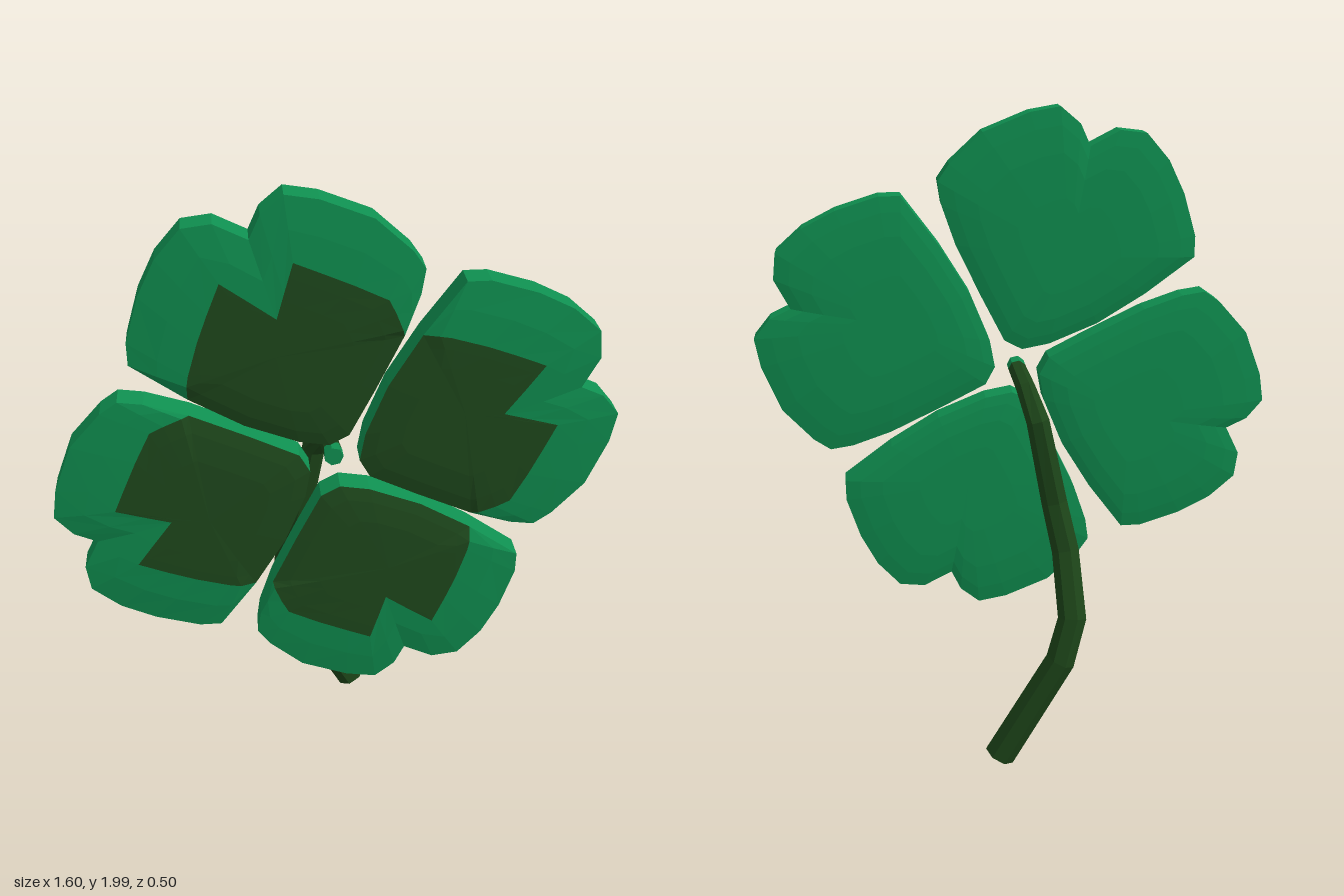
import * as THREE from 'three';

const LEAF_GREEN = 0x0f8f50, DARK_GREEN = 0x1f4a1d, STEM_GREEN = 0x1d4519;

// Skin a list of rings (equal point counts, counter-clockwise about the travel direction)
function loft(name, rings, color) {
  const pos = [];
  const tri = (a, b, c) => {
    if (a.distanceTo(b) < 1e-5 || b.distanceTo(c) < 1e-5 || c.distanceTo(a) < 1e-5) return;
    for (const p of [a, b, c]) pos.push(p.x, p.y, p.z);
  };
  for (let i = 0; i < rings.length - 1; i++) {
    const r = rings[i], s = rings[i + 1], n = r.length;
    for (let j = 0; j < n; j++) {
      const k = (j + 1) % n;
      tri(r[j], r[k], s[k]);
      tri(r[j], s[k], s[j]);
    }
  }
  const geo = new THREE.BufferGeometry();
  geo.setAttribute('position', new THREE.Float32BufferAttribute(pos, 3));
  geo.computeVertexNormals();
  const mesh = new THREE.Mesh(geo, new THREE.MeshStandardMaterial({ color, flatShading: true }));
  mesh.name = name;
  return mesh;
}

// Leaf outline, and the dark patch outline where it leaves the rim: [x, y, patchX, patchY]
const OUTLINE = [
  [-0.22, 0.685, -0.155, 0.47], [-0.31, 0.73, -0.23, 0.525], [-0.39, 0.72, -0.30, 0.575],
  [-0.46, 0.64, -0.335, 0.49], [-0.51, 0.54, -0.365, 0.41], [-0.55, 0.41, -0.395, 0.31],
  [-0.55, 0.345, -0.40, 0.28], [-0.40, 0.235], [-0.25, 0.145], [-0.10, 0.085],
  [-0.015, 0.07], [0.04, 0.10], [0.11, 0.24], [0.185, 0.40],
  [0.225, 0.52, 0.18, 0.42], [0.235, 0.59, 0.16, 0.47], [0.20, 0.64, 0.14, 0.51],
  [0.10, 0.73, 0.05, 0.555], [-0.04, 0.785, -0.04, 0.595], [-0.13, 0.80, -0.11, 0.625],
  [-0.19, 0.75, -0.135, 0.54],
];

function makeLeaf() {
  const centre = new THREE.Vector2(-0.16, 0.36);
  const outer = OUTLINE.map(([x, y]) => new THREE.Vector2(x, y));
  const patch = OUTLINE.map(([x, y, px = x, py = y]) => new THREE.Vector2(px, py));
  // Domed half thickness, thinnest at the rim
  const ring = (points, side) => points.map((p, i) => {
    const t = Math.min(1, p.distanceTo(centre) / outer[i].distanceTo(centre));
    return new THREE.Vector3(p.x, p.y, side * (0.037 + 0.017 * (1 - t ** 4)));
  });
  const shrink = (points, s) => points.map(p => centre.clone().lerp(p, s));
  const between = outer.map((p, i) => p.clone().lerp(patch[i], 0.5));

  const leaf = new THREE.Group();
  leaf.name = 'leaf';
  leaf.add(
    loft('leafBody', [
      ...[0, 0.4, 0.7, 0.88, 1].map(s => ring(shrink(outer, s), -1)),
      ring(outer, 1), ring(between, 1), ring(patch, 1),
    ], LEAF_GREEN),
    loft('leafDarkPatch', [1, 0.85, 0.6, 0].map(s => ring(shrink(patch, s), 1)), DARK_GREEN),
  );
  return leaf;
}

// Stem stations from the leaf centre down to the foot: [x, y, z, radius]
const STEM = [
  [0, 1.21, 0.20, 0.028], [0, 1.207, 0.16, 0.028], [-0.01, 1.185, 0.02, 0.03],
  [-0.04, 1.10, -0.035, 0.036], [-0.09, 0.84, -0.05, 0.041], [-0.12, 0.69, -0.09, 0.043],
  [-0.13, 0.50, -0.175, 0.045], [-0.09, 0.37, -0.20, 0.047], [0.10, 0.03, -0.185, 0.05],
];

function makeStem() {
  const pts = STEM.map(([x, y, z]) => new THREE.Vector3(x, y, z));
  const rings = pts.map((p, i) => {
    const t = pts[Math.min(i + 1, pts.length - 1)].clone().sub(pts[Math.max(i - 1, 0)]).normalize();
    const u = new THREE.Vector3(1, 0, 0).addScaledVector(t, -t.x).normalize();
    const v = t.clone().cross(u);
    return Array.from({ length: 7 }, (_, j) => {
      const a = j / 7 * Math.PI * 2;
      return p.clone().addScaledVector(u, STEM[i][3] * Math.cos(a)).addScaledVector(v, STEM[i][3] * Math.sin(a));
    });
  });
  const cap = p => rings[0].map(() => p.clone());
  const stem = new THREE.Group();
  stem.name = 'stem';
  stem.add(
    loft('stemTip', [cap(pts[0]), rings[0], rings[1]], LEAF_GREEN),
    loft('stemStalk', [...rings.slice(1), cap(pts[pts.length - 1])], STEM_GREEN),
  );
  return stem;
}

export function createModel() {
  const model = new THREE.Group();
  model.name = 'fourLeafClover';

  // Four equal leaves around the middle
  const leaves = new THREE.Group();
  leaves.name = 'leaves';
  leaves.position.set(0, 1.2, 0.196);
  for (let i = 0; i < 4; i++) {
    const leaf = makeLeaf();
    leaf.rotation.z = i * Math.PI / 2;
    leaves.add(leaf);
  }
  model.add(leaves, makeStem());
  return model;
}
